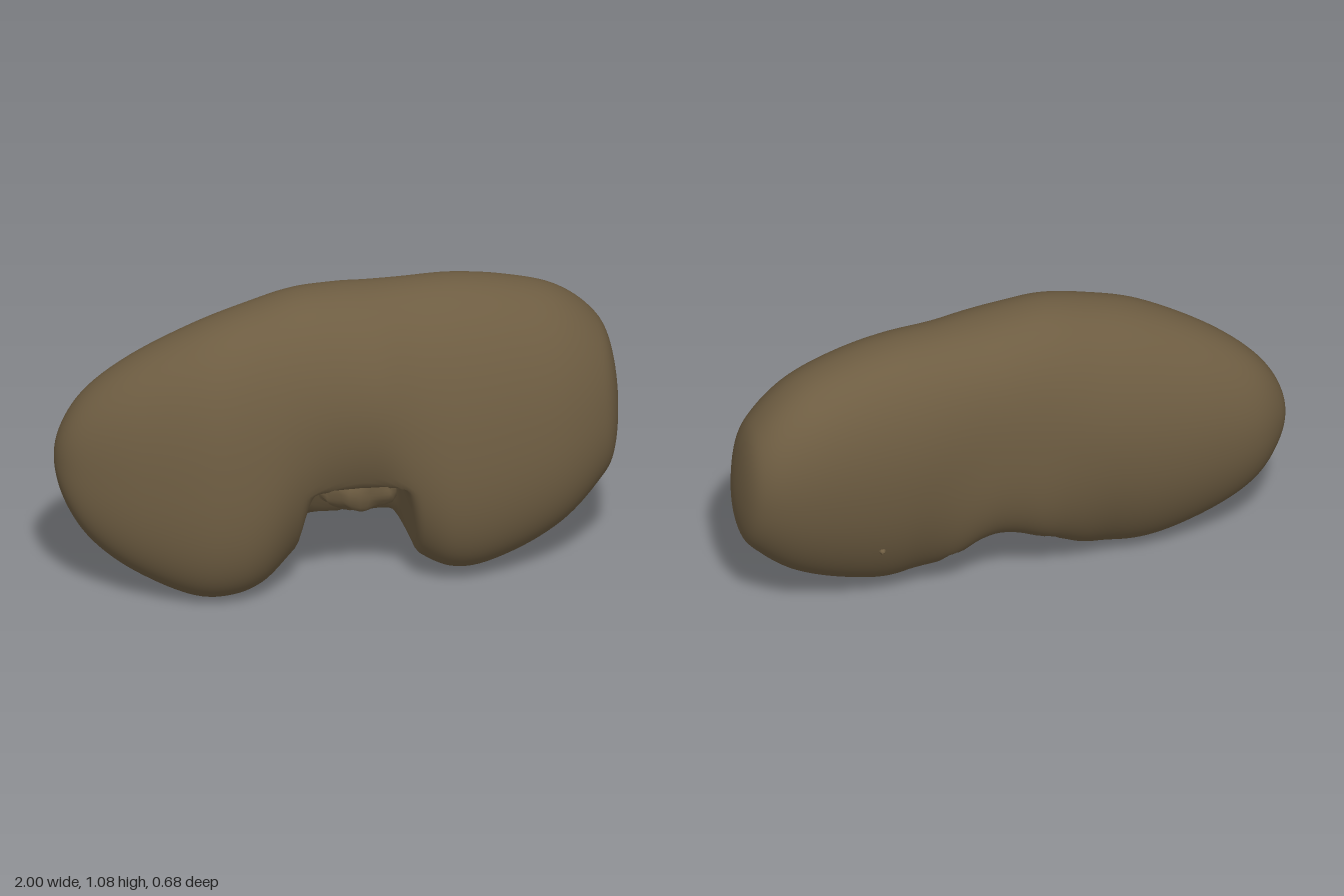
import * as THREE from 'three';

// Outline stations along the bean: x, top y, bottom y, front z, back z
const stations = [
  [-1, 0.5, 0.5, 0, 0],
  [-0.97, 0.63, 0.355, 0.09, -0.08],
  [-0.88, 0.755, 0.21, 0.17, -0.155],
  [-0.72, 0.875, 0.09, 0.255, -0.205],
  [-0.5, 0.985, 0.004, 0.33, -0.245],
  [-0.3, 1.05, 0.03, 0.33, -0.268],
  [-0.15, 1.083, 0.13, 0.308, -0.28],
  [0, 1.083, 0.205, 0.29, -0.29],
  [0.12, 1.075, 0.2, 0.287, -0.295],
  [0.25, 1.07, 0.09, 0.28, -0.305],
  [0.42, 1.065, 0.03, 0.275, -0.32],
  [0.6, 1.035, 0.065, 0.24, -0.333],
  [0.78, 0.975, 0.15, 0.18, -0.34],
  [0.91, 0.875, 0.265, 0.1, -0.315],
  [0.975, 0.76, 0.36, 0.02, -0.25],
  [1, 0.55, 0.55, -0.12, -0.12],
];
const { smoothstep: smooth, lerp } = THREE.MathUtils;

// Closed smooth outline running out along one column and back along another
function outline(a, b) {
  const out = stations.map((s) => new THREE.Vector3(s[0], s[a], 0));
  const back = stations.slice(1, -1).reverse().map((s) => new THREE.Vector3(s[0], s[b], 0));
  return new THREE.CatmullRomCurve3([...out, ...back], true, 'catmullrom', 0.5);
}

// Slightly fuller than a plain ellipse
const full = (v) => Math.sign(v) * Math.abs(v) ** 0.94;

// Leaning cross-sections, with a pocket cut into the lower front
function beanGeometry(rings = 200, sides = 96) {
  const side = outline(1, 2);
  const plan = outline(3, 4);
  const pos = [];
  const index = [];
  for (let i = 0; i <= rings; i++) {
    const t = i / rings / 2;
    const top = side.getPoint(t);
    const bottom = side.getPoint((1 - t) % 1);
    const front = plan.getPoint(t);
    const back = plan.getPoint((1 - t) % 1);
    const x = top.x;
    const cy = (top.y + bottom.y) / 2;
    const hy = (top.y - bottom.y) / 2;
    const cz = (front.y + back.y) / 2;
    const hz = (front.y - back.y) / 2;
    // The underside swings back between the two lobes
    const waist = smooth(x, -0.38, -0.05) * (1 - smooth(x, 0.1, 0.38));
    const leanTop = lerp(-0.03, -0.2, smooth(x, -0.2, 0.45));
    const leanBottom = lerp(-0.25, 0.15, waist);
    const notch = smooth(x, -0.17, -0.09) * (1 - smooth(x, 0.18, 0.27));
    for (let j = 0; j < sides; j++) {
      const a = (j / sides) * Math.PI * 2;
      const s = full(Math.sin(a));
      const lean = lerp(leanBottom, leanTop, smooth(s, -1, 1));
      const z = cz + hz * (0.985 * full(Math.cos(a)) + lean * s);
      let y = cy + hy * s;
      if (s < 0) {
        const roof = lerp(0.2, 0.42, smooth(z, -0.06, 0.1));
        y += notch * Math.max(0, roof - y);
      }
      pos.push(x, y, z);
      if (i < rings) {
        const k = (j + 1) % sides;
        const p = i * sides + j, q = p + sides;
        const r = i * sides + k, u = r + sides;
        index.push(p, q, r, q, u, r);
      }
    }
  }
  const g = new THREE.BufferGeometry();
  g.setAttribute('position', new THREE.Float32BufferAttribute(pos, 3));
  g.setIndex(index);
  g.computeVertexNormals();
  return g;
}

// Small lump with a wrinkled surface
function lumpGeometry(rx, ry, rz, rough) {
  const g = new THREE.SphereGeometry(1, 24, 16);
  const p = g.attributes.position;
  const v = new THREE.Vector3();
  for (let i = 0; i < p.count; i++) {
    v.fromBufferAttribute(p, i);
    v.multiplyScalar(1 + rough * Math.sin(7 * v.x + 3 * v.z) * Math.cos(6 * v.z - 4 * v.y));
    p.setXYZ(i, v.x * rx, v.y * ry, v.z * rz);
  }
  g.computeVertexNormals();
  return g;
}

export function createModel() {
  const model = new THREE.Group();
  model.name = 'bean';
  const skin = new THREE.MeshStandardMaterial({ color: 0x6e5d42 });
  skin.name = 'brown skin';

  const add = (name, geometry, x, y, z) => {
    const mesh = new THREE.Mesh(geometry, skin);
    mesh.name = name;
    mesh.position.set(x, y, z);
    model.add(mesh);
  };

  add('beanBody', beanGeometry(), 0, 0, 0);
  // Wrinkled scar inside the notch
  add('hilum', lumpGeometry(0.15, 0.08, 0.05, 0.12), 0.07, 0.32, 0.02);
  // Tiny blemish low on the back
  add('blemish', lumpGeometry(0.012, 0.012, 0.02, 0.1), 0.5, 0.31, -0.255);
  return model;
}
